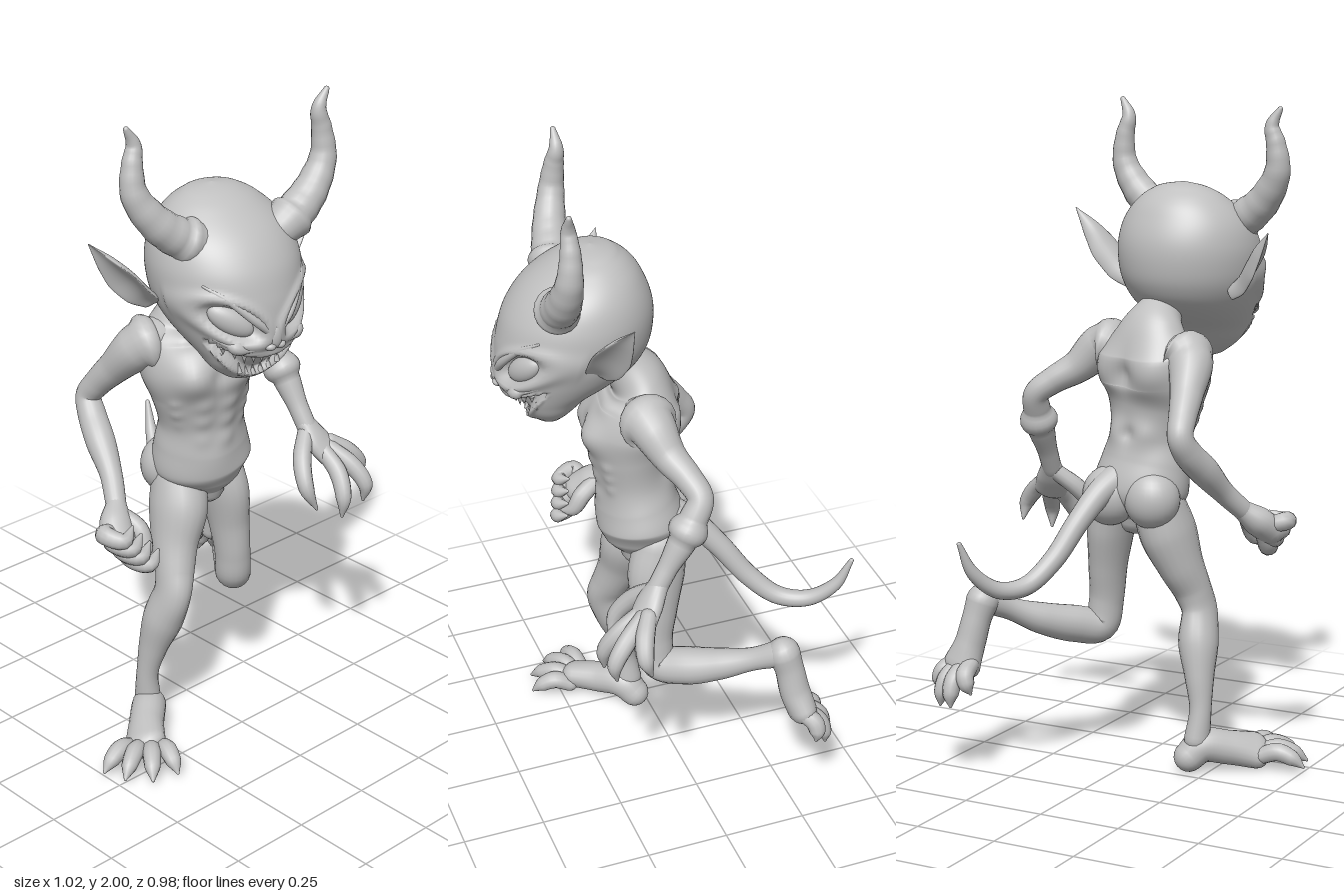
import * as THREE from 'three';

const skin = new THREE.MeshStandardMaterial({ color: 0xc0c0c0 });
skin.name = 'grey skin';
const V = (x, y, z) => new THREE.Vector3(x, y, z);

function add(parent, name, geometry) {
  const mesh = new THREE.Mesh(geometry, skin);
  mesh.name = name;
  parent.add(mesh);
  return mesh;
}

// Smooth skin over a stack of closed rings
function skinRings(rings) {
  const n = rings[0].length, index = [];
  for (let i = 0; i < rings.length - 1; i++)
    for (let j = 0; j < n; j++) {
      const k = (j + 1) % n, a = i * n + j, b = i * n + k;
      index.push(a, b, b + n, a, b + n, a + n);
    }
  const g = new THREE.BufferGeometry().setFromPoints(rings.flat());
  g.setIndex(index);
  g.computeVertexNormals();
  return g;
}

// Round-ended limb through points [x, y, z, radius, optional second radius];
// cup bends its section, swell pushes the surface out by a rule
function limb(parent, name, pts, { side = V(1, 0, 0.01), sides = 20, steps = 7, ripple = 0, cup = 0, swell = null } = {}) {
  const curve = new THREE.CatmullRomCurve3(pts.map(p => V(p[0], p[1], p[2])));
  const radii = new THREE.CatmullRomCurve3(pts.map(p => V(p[3], p[4] ?? p[3], 0)));
  const total = (pts.length - 1) * steps, rings = [];
  let N = side.clone();
  const ring = (c, T, a, b) => {
    const B = T.clone().cross(N), out = [];
    for (let j = 0; j < sides; j++) {
      const t = j / sides * Math.PI * 2, u = Math.cos(t);
      const p = c.clone().addScaledVector(N, a * u).addScaledVector(B, b * Math.sin(t) + cup * a * u * u);
      if (swell) p.addScaledVector(p.clone().sub(c).normalize(), swell(p));
      out.push(p);
    }
    rings.push(out);
  };
  const cap = (c, T, r, dir) => {
    for (let s = 0; s < 5; s++) {
      const q = (dir < 0 ? s : 4 - s) / 5 * Math.PI / 2, k = Math.max(Math.sin(q), 0.01);
      ring(c.clone().addScaledVector(T, dir * Math.min(r.x, r.y) * Math.cos(q)), T, r.x * k, r.y * k);
    }
  };
  for (let i = 0; i <= total; i++) {
    const t = i / total, c = curve.getPoint(t), T = curve.getTangent(t), r = radii.getPoint(t);
    r.multiplyScalar(1 + ripple * Math.sin(i * 1.57));
    r.x = Math.max(r.x, 0.002); r.y = Math.max(r.y, 0.002);
    N = N.clone().addScaledVector(T, -N.dot(T)).normalize();
    if (i === 0) cap(c, T, r, -1);
    ring(c, T, r.x, r.y);
    if (i === total) cap(c, T, r, 1);
  }
  return add(parent, name, skinRings(rings));
}

function blob(parent, name, [x, y, z], [sx, sy, sz]) {
  const m = add(parent, name, new THREE.SphereGeometry(1, 28, 18));
  m.position.set(x, y, z);
  m.scale.set(sx, sy, sz);
  return m;
}

// Head profile rows: height, half width, front depth, back depth
const rows = [[-.28, 0, .085, .085], [-.272, .04, .115, .055], [-.25, .08, .145, .03], [-.22, .113, .178, 0],
  [-.18, .138, .208, -.045], [-.14, .162, .226, -.115], [-.1, .183, .234, -.17], [-.05, .203, .232, -.205], [0, .213, .224, -.22],
  [.08, .212, .198, -.222], [.15, .187, .147, -.2], [.2, .143, .085, -.17], [.23, .1, .035, -.135], [.247, .055, -.01, -.1], [.255, 0, -.05, -.05]];
const profile = new THREE.CubicInterpolant(rows.map(r => r[0]), rows.flatMap(r => r.slice(1)), 3, new Float32Array(3));
function section(y) {
  const [w, f, b] = profile.evaluate(y);
  return { w: Math.max(w, 0), zc: (f + b) / 2, zr: Math.max((f - b) / 2, 0) };
}
function frontZ(x, y) {
  const s = section(y);
  return s.zc + s.zr * Math.sqrt(Math.max(0, 1 - (x / s.w) ** 2));
}
const mouthY = x => -.212 + 3.7 * x * x;
const mouthH = x => .036 * (1 - (x / .165) ** 2);

// Hollow with a raised rim, d = 1 at its edge
const pit = (d, depth, rim) => d < 1 ? -depth * Math.min(1, (1 - d) * 2.5) : rim * Math.exp(-(((d - 1.25) / .25) ** 2));
function sculpt(x, y) {
  const ax = Math.abs(x) - .105, ey = y + .06;
  const u = ax * .82 + ey * .57, v = ey * .82 - ax * .57;
  const eye = pit(Math.hypot(u / .085, v / .042), .032, .009);
  const h = mouthH(x);
  const mouth = h > .004 ? pit(Math.abs(y - mouthY(x)) / h, .032, .008) : 0;
  return eye + mouth;
}

function buildHead(root) {
  const head = new THREE.Group();
  head.name = 'head';
  head.position.set(-.09, 1.5, .25);
  head.rotation.set(0, -.13, .03);
  root.add(head);
  const rings = [], R = 90, S = 112;
  for (let i = 0; i <= R; i++) {
    const y = -.0125 - .2675 * Math.cos(i / R * Math.PI), s = section(y), out = [];
    for (let j = 0; j < S; j++) {
      const t = j / S * Math.PI * 2, x = s.w * Math.cos(t), dz = -s.zr * Math.sin(t);
      const k = dz > 0 ? 1 + sculpt(x, y) / Math.max(Math.hypot(x, dz), .05) : 1;
      out.push(V(x * k, y, s.zc + dz * k));
    }
    rings.push(out);
  }
  add(head, 'skull', skinRings(rings));

  for (const s of [-1, 1]) {
    // Eyes and scowling brows
    const eye = blob(head, 'eye', [s * .102, -.06, frontZ(.105, -.06) - .036], [.072, .036, .028]);
    eye.rotation.set(0, s * .55, s * .58, 'YXZ');
    limb(head, 'brow', [[.012, -.1, .01], [.06, -.052, .013], [.12, .008, .01], [.165, .045, .004]]
      .map(([x, y, r]) => [s * x, y, frontZ(x, y) - .003, r]), { sides: 12 });
    blob(head, 'nostril', [s * .016, -.137, frontZ(0, -.137) + .002], [.017, .012, .016]);
    limb(head, 'cheekFold', [[.025, -.132, .007], [.075, -.14, .009], [.12, -.122, .009], [.155, -.1, .004]]
      .map(([x, y, r]) => [s * x, y, frontZ(x, y) - .001, r]), { sides: 12 });
  }
  blob(head, 'noseBridge', [0, -.112, frontZ(0, -.112)], [.02, .032, .013]);

  // Two rows of pointed teeth
  for (const up of [-1, 1])
    for (let i = 0; i < 10; i++) {
      const x = (i - 4.5) * .026, fang = i === 2 || i === 7 ? 1.3 : 1, len = .03 * fang * (1 - Math.abs(x) * 2.5);
      const y = mouthY(x) - up * (mouthH(x) - len * .4);
      const t = add(head, 'tooth', new THREE.ConeGeometry(.01, len, 8));
      t.position.set(x, y, frontZ(x, y) - .018);
      if (up < 0) t.rotation.z = Math.PI;
    }
}

// Trunk muscles in chest-facing axes: |x|, y, z, spread, height
const muscles = [[.07, 1.175, .13, .058, .03], [0, 1.18, .13, .03, -.012], [.085, 1.21, -.12, .07, .03], [0, 1.2, -.12, .035, -.016],
  [.045, 1.02, -.1, .045, .016], [0, 1.02, -.1, .022, -.012], [.08, 1.285, .08, .03, .01], [0, .91, .12, .075, .016],
  ...[0, 1, 2].flatMap(i => [[.038, 1.085 - i * .058, .11, .026, .009], [.11, 1.09 - i * .04, .075, .017, .007]])];
function trunkSwell(p) {
  const dx = p.x + .045, dz = p.z - .1, x = Math.abs(dx * .963 + dz * .27), z = dz * .963 - dx * .27;
  return muscles.reduce((sum, [a, b, c, s, h]) => sum + h * Math.exp(-((x - a) ** 2 + (p.y - b) ** 2 + (z - c) ** 2) / (s * s)), 0);
}

// Digits ending in claws
function digit(parent, name, pts) {
  const r = [.025, .028, .024, .005];
  limb(parent, name, pts.map((p, i) => [...p, r[i]]), { sides: 12, steps: 5 });
}
const mix = (a, b, t) => a.map((v, i) => v + (b[i] - v) * t);

export function createModel() {
  const root = new THREE.Group();
  root.name = 'hornedImp';

  limb(root, 'torso', [[0, .76, .08, .055, .07], [-.005, .805, .08, .11, .112], [-.015, .86, .08, .152, .128],
    [-.025, .93, .088, .142, .116], [-.033, 1, .098, .13, .106], [-.045, 1.1, .105, .15, .118], [-.052, 1.18, .1, .172, .13],
    [-.05, 1.26, .08, .168, .115], [-.05, 1.32, .08, .115, .085], [-.055, 1.38, .13, .066, .064], [-.07, 1.44, .2, .06, .06]],
  { side: V(.96, 0, .27), sides: 64, steps: 12, swell: trunkSwell });
  blob(root, 'leftButtock', [.052, .83, .006], [.085, .09, .08]);
  blob(root, 'rightButtock', [-.085, .83, .012], [.085, .09, .08]);

  buildHead(root);

  // Ringed horns
  limb(root, 'leftHorn', [[.03, 1.63, .345, .056], [.085, 1.665, .35, .056], [.145, 1.72, .352, .049], [.188, 1.8, .35, .038],
    [.185, 1.88, .345, .029], [.172, 1.94, .345, .021], [.195, 1.99, .35, .008]], { ripple: .018 });
  limb(root, 'rightHorn', [[-.2, 1.62, .28, .056], [-.265, 1.65, .26, .056], [-.335, 1.705, .24, .049], [-.387, 1.79, .215, .038],
    [-.385, 1.87, .205, .029], [-.375, 1.92, .2, .021], [-.4, 1.968, .2, .008]], { ripple: .018 });

  // Pointed, cupped ears
  const ear = (name, pts, s) => limb(root, name, pts.map(p => [...p, Math.min(.012, p[3] * .5)]),
    { side: V(-.15 * s, .38, .81).normalize(), sides: 32, cup: .45 * s });
  ear('leftEar', [[.1, 1.455, .245, .035], [.135, 1.49, .24, .05], [.175, 1.545, .232, .055], [.222, 1.605, .217, .036], [.275, 1.665, .2, .002]], 1);
  ear('rightEar', [[-.27, 1.445, .16, .035], [-.305, 1.475, .15, .05], [-.34, 1.52, .128, .055], [-.38, 1.568, .1, .036], [-.425, 1.62, .07, .002]], -1);

  // Arms
  limb(root, 'leftArm', [[.07, 1.255, .1, .07], [.125, 1.262, .1, .07], [.2, 1.198, .072, .05], [.265, 1.157, .04, .041], [.315, 1.115, .022, .038],
    [.328, 1.06, .048, .042], [.335, 1, .082, .042], [.34, .92, .13, .031], [.345, .86, .165, .03]]);
  limb(root, 'rightArm', [[-.16, 1.255, .045, .07], [-.2, 1.245, .025, .07], [-.232, 1.16, -.055, .049], [-.247, 1.1, -.11, .041], [-.257, 1.05, -.143, .038],
    [-.268, 1, -.115, .042], [-.287, .95, -.062, .044], [-.315, .87, .02, .033], [-.35, .81, .08, .03]]);

  // Open left hand
  limb(root, 'leftPalm', [[.345, .87, .16, .032, .028], [.362, .82, .195, .05, .03], [.385, .78, .225, .052, .028]], { side: V(.9, .1, -.3) });
  [[[.335, .85, .17], [.275, .79, .215], [.25, .72, .26], [.275, .65, .28]],
    [[.36, .8, .215], [.36, .745, .285], [.345, .68, .325], [.34, .62, .325]],
    [[.385, .8, .22], [.42, .75, .285], [.438, .695, .325], [.437, .64, .32]],
    [[.4, .81, .21], [.452, .77, .24], [.488, .725, .25], [.493, .675, .235]]].forEach(p => digit(root, 'leftFinger', p));

  // Clenched right hand
  const palm = [-.39, .755, .125];
  limb(root, 'rightPalm', [[-.35, .81, .08, .03], [-.385, .77, .12, .05, .042], [-.405, .74, .155, .05, .04]]);
  for (let i = 0; i < 4; i++) {
    const k = mix([-.455, .775, .15], [-.385, .688, .18], i / 3);
    digit(root, 'rightFinger', [mix(palm, k, .3), k, [k[0] + .025, k[1] - .008, k[2] + .055], [k[0] + .07, k[1] + .015, k[2] + .04]]);
  }
  digit(root, 'rightThumb', [[-.355, .79, .1], [-.335, .755, .16], [-.338, .71, .19], [-.375, .69, .23]]);

  // Standing right leg and raised left leg
  limb(root, 'rightLeg', [[-.085, .81, .055, .078, .08], [-.105, .72, .078, .082, .096], [-.138, .62, .098, .066, .078], [-.164, .54, .126, .056, .062],
    [-.182, .48, .136, .049, .064], [-.193, .39, .108, .059, .064], [-.21, .29, .082, .044, .047], [-.222, .19, .066, .033, .034], [-.215, .1, .058, .038, .042]]);
  limb(root, 'leftLeg', [[.068, .81, .05, .072, .08], [.084, .72, .07, .068, .088], [.1, .6, .08, .057, .07], [.11, .49, .088, .052, .058],
    [.125, .412, .075, .054, .056], [.18, .42, .01, .055, .058], [.245, .45, -.08, .047, .048], [.305, .49, -.16, .033, .035], [.35, .525, -.225, .042, .042]]);

  // Feet: four clawed toes each
  const foot = (name, path, from, to, tips, lift) => {
    limb(root, name, path);
    tips.forEach((tip, i) => {
      const a = mix(from, to, i / 3), up = (t, h) => mix(a, tip, t).map((v, n) => v + lift[n] * h);
      digit(root, name + 'Toe', [a, up(.4, .026), up(.75, .018), tip]);
    });
  };
  foot('rightFoot', [[-.195, .047, .045, .046], [-.225, .078, .075, .052], [-.285, .066, .13, .054, .05], [-.345, .05, .19, .066, .044]],
    [-.375, .042, .165], [-.315, .042, .225], [[-.505, .02, .19], [-.485, .02, .26], [-.43, .02, .32], [-.35, .02, .34]], [0, 1, 0]);
  foot('leftFoot', [[.352, .525, -.235, .05], [.365, .47, -.25, .044], [.38, .4, -.262, .046], [.398, .335, -.28, .06, .044]],
    [.36, .34, -.295], [.425, .34, -.27], [[.335, .265, -.335], [.39, .225, -.36], [.435, .222, -.345], [.468, .26, -.3]], [.3, .3, -.7]);

  // Curling tail
  limb(root, 'tail', [[.02, .89, .01, .048], [.05, .85, -.055, .04], [.085, .77, -.13, .034], [.125, .665, -.21, .031], [.17, .6, -.29, .028],
    [.215, .6, -.37, .025], [.255, .66, -.44, .019], [.275, .75, -.48, .007]]);
  return root;
}
